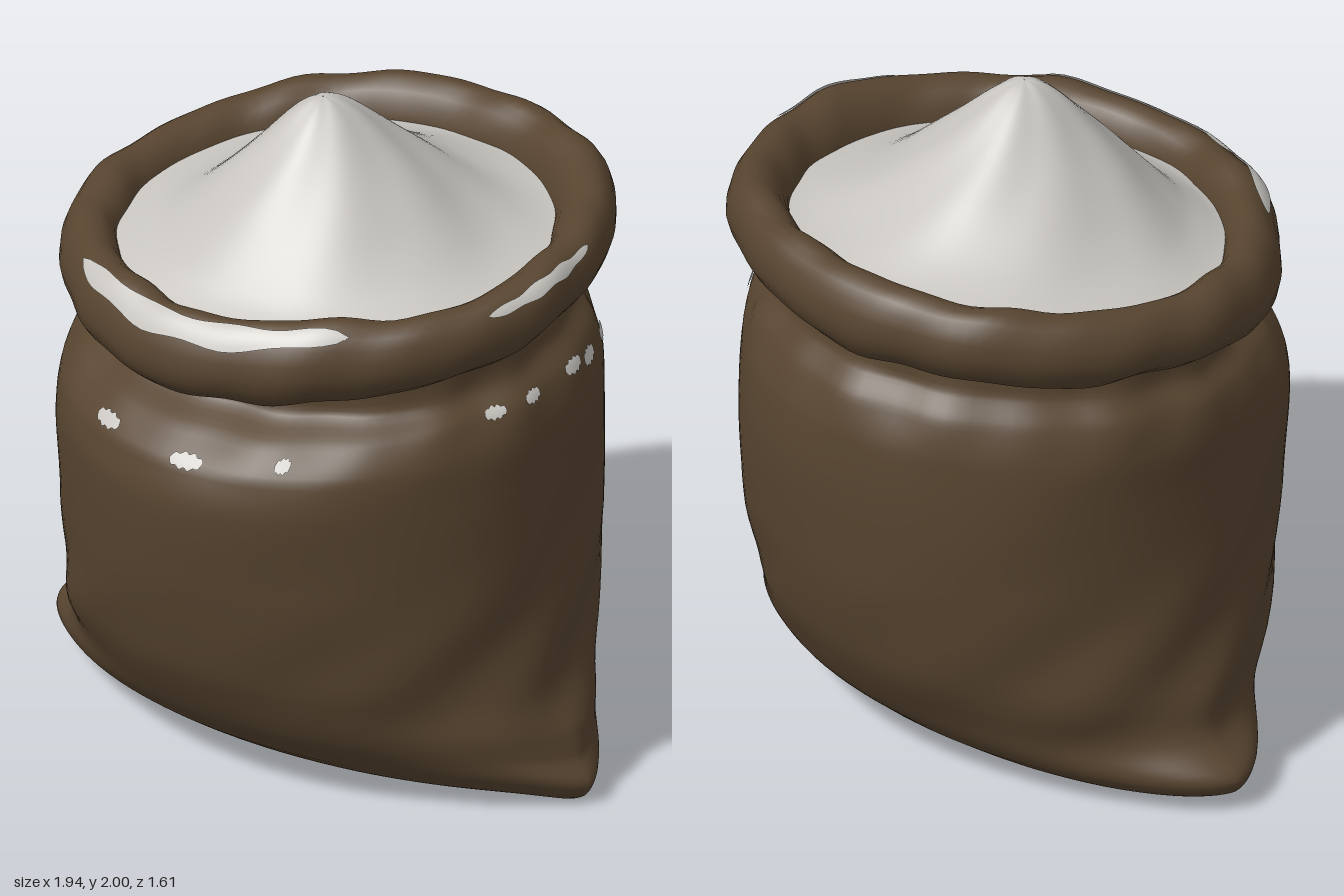
import * as THREE from 'three';

const TAU = Math.PI * 2;
const { sin, cos, abs, min, max, exp, pow } = Math;

// Surface from fn(u, v) -> [x, y, z]; u runs around the sack, v upward/inward
function surface(fn, nu, nv, wrapU = true, wrapV = false) {
  const cu = wrapU ? nu : nu + 1, cv = wrapV ? nv : nv + 1;
  const pos = [], idx = [];
  for (let j = 0; j < cv; j++)
    for (let i = 0; i < cu; i++) pos.push(...fn(i / nu, j / nv));
  for (let j = 0; j < nv; j++)
    for (let i = 0; i < nu; i++) {
      const i2 = (i + 1) % cu, j2 = (j + 1) % cv;
      const a = j * cu + i, b = j * cu + i2, c = j2 * cu + i, d = j2 * cu + i2;
      idx.push(a, c, b, b, c, d);
    }
  const g = new THREE.BufferGeometry();
  g.setAttribute('position', new THREE.Float32BufferAttribute(pos, 3));
  g.setIndex(idx);
  g.computeVertexNormals();
  return g;
}

// Sack cross-sections: height, half width, front depth, back depth, corner pinch
const rows = [
  [0.045, 0.01, 0.01, 0.01, 0],
  [0.045, 0.6, 0.24, 0.27, 0.2],
  [0.045, 0.93, 0.37, 0.4, 0.3],
  [0.1, 0.97, 0.46, 0.49, 0.35],
  [0.2, 0.885, 0.565, 0.59, 0.2],
  [0.4, 0.825, 0.685, 0.7, 0.06],
  [0.7, 0.795, 0.765, 0.775, 0],
  [1.0, 0.785, 0.805, 0.805, 0],
  [1.15, 0.78, 0.78, 0.795, 0],
  [1.25, 0.75, 0.695, 0.755, 0],
  [1.32, 0.695, 0.585, 0.695, 0],
  [1.44, 0.69, 0.59, 0.68, 0],
];
const spanA = new THREE.CatmullRomCurve3(rows.map(r => new THREE.Vector3(r[0], r[1], r[4])));
const spanB = new THREE.CatmullRomCurve3(rows.map(r => new THREE.Vector3(r[2], r[3], 0)));

function sackPoint(th, t, lift = 0) {
  const A = spanA.getPoint(t), B = spanB.getPoint(t);
  const y = A.x, s = sin(th), c = cos(th);
  // pleats below the rim and slanting folds above the bottom corners
  const pleat = 0.009 * exp(-pow((y - 1.28) / 0.1, 2)) * (sin(th * 17) + sin(th * 11 + 1));
  const low = exp(-pow((y - 0.42) / 0.25, 2)) * abs(c);
  const fold = 0.012 * low * sin(th * 9 + y * 16) + 0.004 * sin(th * 5 + y * 8) * min(1, y);
  const k = 1 + (y > 0.06 ? pleat + fold : 0);
  const a = A.y * k + lift;
  const b = (s > 0 ? B.x : B.y) * k + lift;
  const z = b * s * pow(abs(s), max(0, A.z));
  const tilt = 0.1 * min(1, max(0, (y - 0.95) / 0.35));
  // corner on the left sags to the ground and spreads higher up
  const droop = y < 0.2 ? 0.045 * pow(max(0, c), 12) * min(1, A.y) : 0;
  const shift = 0.02 * min(1, y / 0.6) + 0.025 * exp(-pow((y - 0.22) / 0.08, 2));
  return [a * c + shift, y - tilt * z - droop, z];
}

// Rolled rim, tilted down toward the front, flared on the left and tucked in underneath
function rimPoint(th, ph, lift = 0) {
  const c = cos(th);
  const lump = 1 + 0.035 * sin(th * 7 + 1) + 0.03 * sin(th * 13 + ph) + 0.02 * sin(th * 19 + ph * 2);
  const rr = 0.09 * lump + lift, ry = (0.142 - 0.02 * c * c) * lump + lift;
  const R = 0.718 + 0.006 * sin(th * 5);
  const r = R + rr * cos(ph) - 0.045 * pow(max(0, -sin(ph)), 2);
  const z = r * sin(th) * 0.985 - 0.018;
  const x = r * c + 0.028 + 0.022 * sin(ph) * max(0, c);
  return [x, 1.505 - 0.107 * z + 0.02 * c + ry * sin(ph) + 0.005 * sin(th * 6 + 2), z];
}

// Heaped contents: radius, height
const heap = new THREE.SplineCurve([
  [0.69, 1.53], [0.6, 1.55], [0.5, 1.59], [0.4, 1.66], [0.3, 1.75],
  [0.2, 1.845], [0.1, 1.945], [0.04, 1.99], [0.001, 2.0],
].map(p => new THREE.Vector2(...p)));

function heapPoint(th, t) {
  const p = heap.getPoint(t), r = p.x;
  const mid = sin(min(1, r / 0.65) * Math.PI);
  const bump = mid * (0.006 * sin(th * 3 + 1) + 0.005 * sin(th * 7 - r * 12));
  const z = r * sin(th);
  const off = max(0, 1 - r / 0.6);
  return [r * cos(th) + 0.025, p.y + bump - 0.1 * z * min(1, r / 0.5), z * (1 + 0.15 * off) + 0.055 * off - 0.01];
}

export function createModel() {
  const group = new THREE.Group();
  const burlap = new THREE.MeshStandardMaterial({ color: 0x584530, side: THREE.DoubleSide });
  burlap.name = 'brown burlap';
  const flour = new THREE.MeshStandardMaterial({ color: 0xc9c6c1, side: THREE.DoubleSide });
  flour.name = 'pale flour';
  const add = (name, geo, mat) => {
    const m = new THREE.Mesh(geo, mat);
    m.name = name;
    group.add(m);
  };

  add('sackBody', surface((u, v) => sackPoint(u * TAU, v), 120, 66), burlap);
  add('rolledRim', surface((u, v) => rimPoint(u * TAU, v * TAU), 120, 20, true, true), burlap);
  add('flourHeap', surface((u, v) => heapPoint(u * TAU, v), 72, 32), flour);

  // Thin ragged dusting on a surface, tapering at both ends
  const dust = (name, point, th, halfW, v0, halfV, lift) => add(name, surface((u, v) => {
    const taper = pow(max(0, sin(u * Math.PI)), 0.4) * (0.85 + 0.15 * sin(u * 23));
    return point(th + (u * 2 - 1) * halfW, v0 + (v * 2 - 1) * halfV * taper, lift);
  }, 28, 6, false), flour);

  // Spilled flour on the rim
  dust('frontRimDust', rimPoint, 1.55, 0.68, 0.98, 0.42, 0.005);
  dust('sideRimDust', rimPoint, 0.02, 0.31, 0.9, 0.24, 0.005);

  // Small specks of flour below the neck: angle, half width, row
  const specks = [[1.9, 0.07, 8.4], [1.48, 0.07, 8.2], [1.1, 0.03, 8.5], [0.22, 0.05, 9.1], [0.02, 0.05, 9.1],
    [-0.27, 0.06, 8.95], [-0.41, 0.06, 8.7], [-0.62, 0.05, 8.6]];
  specks.forEach(([th, w, row]) => dust('sackDust', sackPoint, th, w, row / 11, 0.023, 0.006));
  return group;
}
